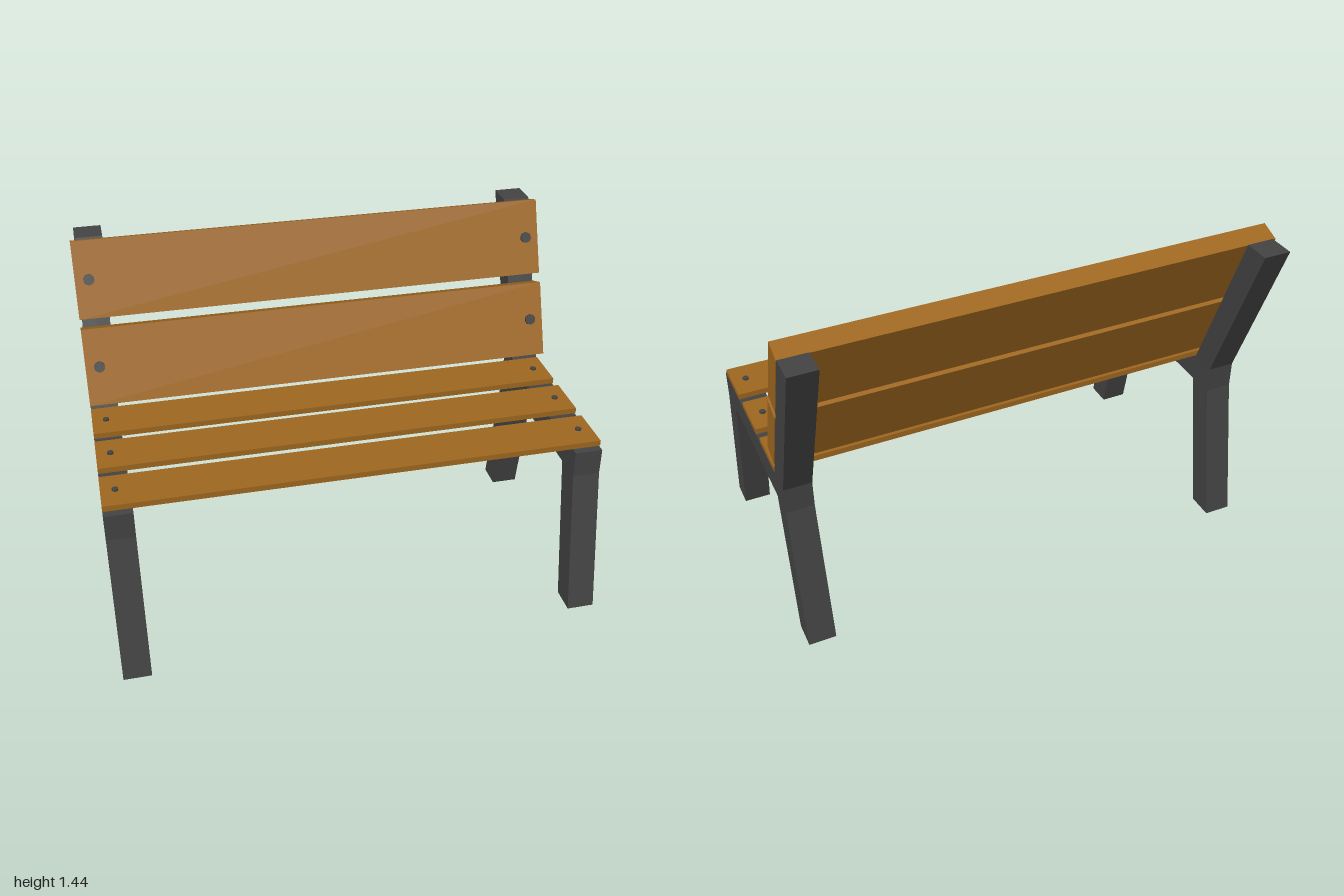
import * as THREE from 'three';

const wood = new THREE.MeshStandardMaterial({ color: 0xa0681f });
const iron = new THREE.MeshStandardMaterial({ color: 0x444444 });
const LEAN = -0.367; // backward tilt of the backrest

// One side frame: legs, seat rail and back post in a single outline of (z, y)
function makeFrame() {
  const outline = [
    [0.614, 0], [0.503, 0.615], [0.503, 0.727], [-0.23, 0.727], [-0.5, 1.42], [-0.612, 1.42],
    [-0.34, 0.727], [-0.34, 0.615], [-0.455, 0], [-0.342, 0], [-0.23, 0.615], [0.388, 0.615], [0.503, 0],
  ].map(([z, y]) => new THREE.Vector2(z, y));
  const geometry = new THREE.ExtrudeGeometry(new THREE.Shape(outline), { depth: 0.114, bevelEnabled: false });
  return geometry.rotateY(-Math.PI / 2); // spans x = -0.114..0
}

// A plank with a bolt head near each end; its upper face is local +y
function makePlank(name, width, thickness, boltRadius, boltHeight) {
  const plank = new THREE.Group();
  plank.name = name;
  const board = new THREE.Mesh(new THREE.BoxGeometry(2, thickness, width), wood);
  board.name = 'board';
  plank.add(board);
  for (const side of [-1, 1]) {
    const bolt = new THREE.Mesh(new THREE.CylinderGeometry(boltRadius, boltRadius, boltHeight * 2, 10), iron);
    bolt.name = 'bolt';
    bolt.position.set(side * 0.943, thickness / 2, 0);
    plank.add(bolt);
  }
  return plank;
}

export function createModel() {
  const bench = new THREE.Group();
  bench.name = 'bench';

  // Side frames
  const leftFrame = new THREE.Mesh(makeFrame(), iron);
  leftFrame.name = 'leftFrame';
  leftFrame.position.x = 1;
  const rightGeometry = makeFrame();
  const points = rightGeometry.attributes.position;
  for (let i = 0; i < points.count; i++) {
    // the right back post leans slightly inwards
    if (points.getY(i) > 1) points.setX(i, points.getX(i) + 0.019);
  }
  rightGeometry.computeVertexNormals();
  const rightFrame = new THREE.Mesh(rightGeometry, iron);
  rightFrame.name = 'rightFrame';
  rightFrame.position.x = -0.886;
  bench.add(leftFrame, rightFrame);

  // Seat planks
  for (const z of [0.38, 0.125, -0.13]) {
    const plank = makePlank('seatPlank', 0.198, 0.024, 0.013, 0.007);
    plank.position.set(0, 0.745, z);
    bench.add(plank);
  }

  // Backrest planks
  for (const [y, z] of [[0.945, -0.261], [1.279, -0.397]]) {
    const plank = makePlank('backPlank', 0.32, 0.084, 0.023, 0.011);
    plank.position.set(0, y, z);
    plank.rotation.x = Math.PI / 2 + LEAN;
    bench.add(plank);
  }
  return bench;
}
